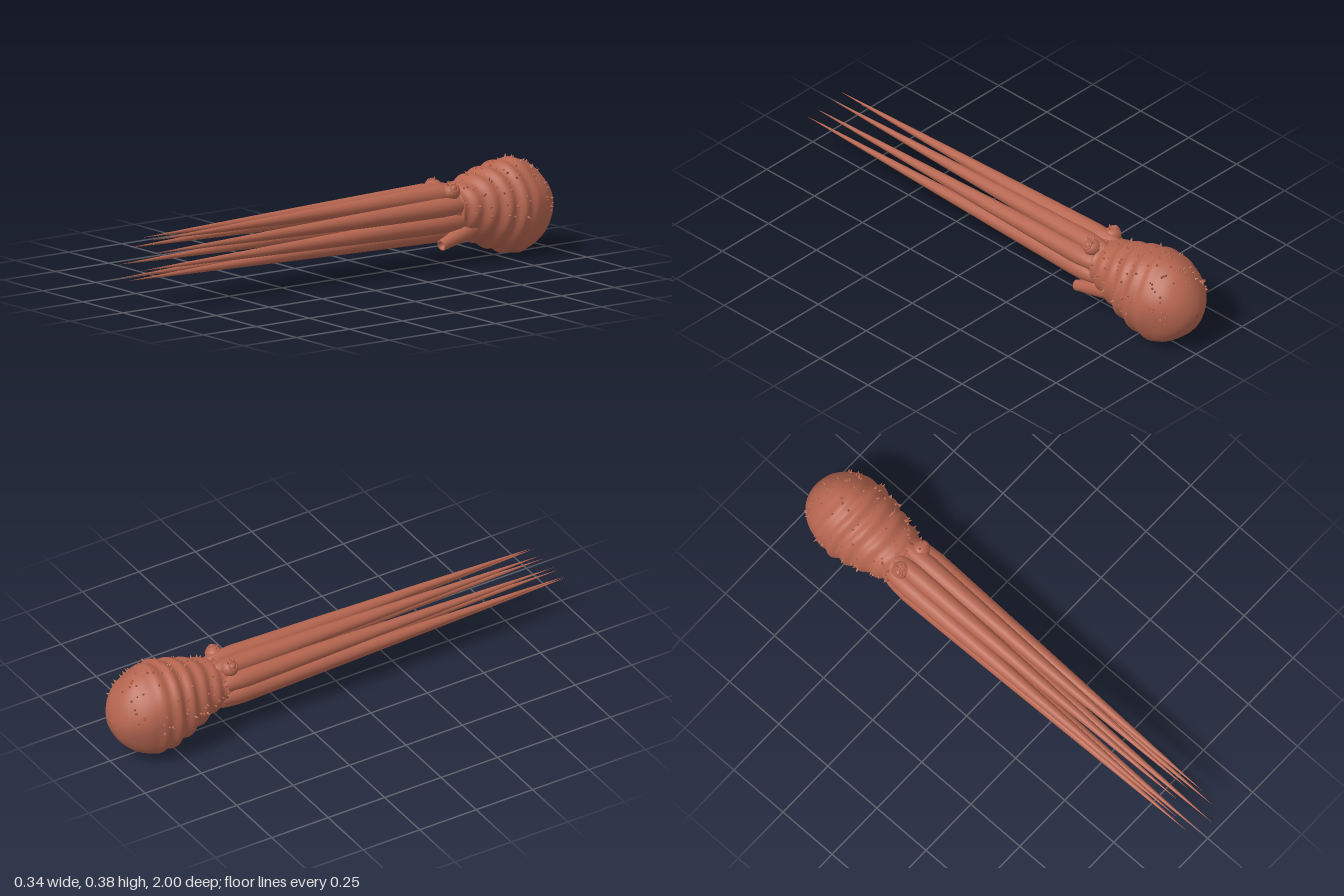
import * as THREE from 'three';
import { mergeGeometries, mergeVertices } from 'three/addons/utils/BufferGeometryUtils.js';

const CX = -0.003, CY = 0.207; // axis of the arm ring

// Mantle stations from the rear tip forward: [z, half width, half height, centre y]
const STATIONS = [
  [-0.998, 0.002, 0.002, 0.185], [-0.99, 0.045, 0.042, 0.186], [-0.968, 0.085, 0.09, 0.188],
  [-0.93, 0.12, 0.134, 0.19], [-0.89, 0.142, 0.16, 0.19], [-0.84, 0.155, 0.179, 0.191],
  [-0.79, 0.159, 0.177, 0.193], [-0.74, 0.152, 0.162, 0.196], [-0.69, 0.143, 0.147, 0.199],
  [-0.64, 0.128, 0.128, 0.203], [-0.59, 0.115, 0.107, 0.207], [-0.55, 0.104, 0.09, 0.212],
  [-0.536, 0.101, 0.086, 0.214], [-0.535, 0.08, 0.07, 0.214],
];
const curveOf = (i, j) => new THREE.CatmullRomCurve3(
  STATIONS.map(s => new THREE.Vector3(s[i], s[j], 0)), false, 'catmullrom');
const widthCurve = curveOf(0, 1), heightCurve = curveOf(2, 3);

// Point on the wrinkled mantle at angle a and lengthwise parameter t
function mantlePoint(a, t) {
  const p = widthCurve.getPoint(t), q = heightCurve.getPoint(t);
  const fade = THREE.MathUtils.smoothstep(p.x, -0.9, -0.76) * (1 - THREE.MathUtils.smoothstep(p.x, -0.56, -0.54));
  const rings = 0.0055 * fade * Math.sin(p.x * 2 * Math.PI / 0.066 + 0.9 * Math.sin(2 * a + 1) + 0.5 * Math.sin(3 * a));
  const lumps = 0.003 * Math.sin(5 * a + 14 * p.x) * Math.min(1, p.y / 0.12) * (1 - 0.7 * fade);
  const r = 1 + (rings + lumps) / 0.14;
  return new THREE.Vector3(CX + p.y * r * Math.cos(a), q.y + q.x * r * Math.sin(a), p.x);
}

// Lathe around +z from [radius, z] pairs
function latheZ(points, segments) {
  return new THREE.LatheGeometry(points.map(p => new THREE.Vector2(p[0], p[1])), segments).rotateX(Math.PI / 2);
}

// Geometry moved to a point with its y axis turned along a direction
function place(geometry, point, direction) {
  const q = new THREE.Quaternion().setFromUnitVectors(new THREE.Vector3(0, 1, 0), direction.clone().normalize());
  return geometry.applyQuaternion(q).translate(point.x, point.y, point.z);
}

export function createModel() {
  const model = new THREE.Group();
  const skin = new THREE.MeshStandardMaterial({ color: 0xb5654f });
  skin.name = 'terracotta skin';
  const spikeSkin = skin;
  const add = (name, geometry, parent = model) => {
    const mesh = new THREE.Mesh(geometry, skin);
    mesh.name = name;
    parent.add(mesh);
    return mesh;
  };
  let seed = 11;
  const random = () => (seed = (seed * 16807) % 2147483647) / 2147483647;

  // Wrinkled mantle: a unit tube bent onto the surface rule
  const rows = 80;
  let mantle = latheZ(Array.from({ length: rows + 1 }, (_, i) => [1, i / rows]), 56);
  const pos = mantle.attributes.position;
  for (let i = 0; i < pos.count; i++) {
    const p = mantlePoint(Math.atan2(pos.getY(i), pos.getX(i)), THREE.MathUtils.clamp(pos.getZ(i), 0, 1));
    pos.setXYZ(i, p.x, p.y, p.z);
  }
  mantle.deleteAttribute('uv');
  mantle.deleteAttribute('normal');
  mantle = mergeVertices(mantle, 1e-5);
  mantle.computeVertexNormals();
  add('mantle', mantle);

  // Small pointed papillae over the upper mantle
  const papillae = [];
  for (let i = 0; i < 130; i++) {
    const a = -0.15 + random() * (Math.PI + 0.3), t = 0.2 + random() * 0.68;
    const p = mantlePoint(a, t);
    const du = mantlePoint(a + 0.02, t).sub(p), dv = mantlePoint(a, t + 0.005).sub(p);
    const normal = du.cross(dv).normalize();
    const size = 0.004 + random() * 0.0035;
    const cone = new THREE.ConeGeometry(size, size * 2.6, 6).toNonIndexed();
    cone.computeVertexNormals();
    papillae.push(place(cone, p.addScaledVector(normal, size * 0.7), normal));
  }
  add('papillae', mergeGeometries(papillae));

  // Head core, ending in the rounded mouth disc inside the arms
  const head = latheZ([[0.07, -0.6], [0.088, -0.56], [0.09, -0.53], [0.088, -0.5], [0.08, -0.47],
    [0.064, -0.45], [0.035, -0.437], [0, -0.433]], 32);
  add('head', head.translate(CX - 0.002, CY + 0.003, 0));

  // Eight long arms, the lower ones reaching further forward, with two rows of suckers inside
  const arms = new THREE.Group();
  arms.name = 'arms';
  model.add(arms);
  for (let k = 0; k < 8; k++) {
    const angle = (k + 0.5) * Math.PI / 4;
    const x = CX - 0.002 + 0.077 * Math.cos(angle), y = CY + 0.077 * Math.sin(angle);
    const tip = 1 - (y - 0.136) * 0.83, base = -0.44;
    const arm = new THREE.Group();
    arm.name = 'arm' + (k + 1);
    arm.position.set(x, y, 0);
    arms.add(arm);
    add('armTaper', latheZ([[0, -0.58], [0.022, -0.565], [0.031, -0.53], [0.036, -0.49], [0.0385, base],
      [0.0285, base + (tip - base) * 0.3], [0.0165, base + (tip - base) * 0.62], [0.007, base + (tip - base) * 0.86], [0, tip]], 14), arm);
    const suckers = [];
    for (let i = 0; i < 34; i++) {
      const f = i / 35, z = base + 0.02 + (tip - base - 0.02) * f;
      const r = 0.0375 * (1 - f);
      for (const side of [-1, 1]) {
        const a = angle + Math.PI + side * 0.28;
        const out = new THREE.Vector3(Math.cos(a), Math.sin(a), 0);
        const cup = new THREE.CylinderGeometry(r * 0.22 + 0.0008, r * 0.15 + 0.0005, 0.005, 7);
        suckers.push(place(cup, out.clone().multiplyScalar(r * 0.95).setZ(z), out));
      }
    }
    add('suckers', mergeGeometries(suckers), arm);
  }

  // Raised eyes with lids and little horns
  for (const side of [-1, 1]) {
    const eye = new THREE.Group();
    eye.name = side > 0 ? 'leftEye' : 'rightEye';
    eye.position.set(CX + side * 0.055, 0.29, -0.508);
    model.add(eye);
    add('eyeBulb', new THREE.SphereGeometry(0.034, 20, 14).scale(1.05, 0.9, 1), eye);
    const lidAxis = new THREE.Vector3(side * 0.75, 0.65, 0.1).normalize();
    add('eyelid', place(new THREE.TorusGeometry(0.016, 0.004, 8, 20).rotateX(Math.PI / 2),
      lidAxis.clone().multiplyScalar(0.028), lidAxis), eye);
    add('eyeball', new THREE.SphereGeometry(0.015, 14, 10).translate(...lidAxis.clone().multiplyScalar(0.024).toArray()), eye);
    const horns = [[0.3, 0.9, -0.35], [-0.35, 0.9, 0.1], [0.1, 0.85, 0.5]].map(([x, y, z]) => {
      const d = new THREE.Vector3(side * x, y, z).normalize();
      return place(new THREE.ConeGeometry(0.006, 0.018, 6), d.clone().multiplyScalar(0.036), d);
    });
    add('eyeHorns', mergeGeometries(horns), eye);
  }

  // Hollow siphon under the left side of the head
  const siphon = latheZ([[0.036, -0.03], [0.035, 0.02], [0.03, 0.07], [0.023, 0.125], [0.0215, 0.15],
    [0.019, 0.153], [0.0155, 0.15], [0.014, 0.13], [0, 0.115]], 20);
  const tube = add('siphon', siphon);
  tube.position.set(0.058, 0.138, -0.59);
  tube.lookAt(0.074, 0.093, -0.44);

  return model;
}
